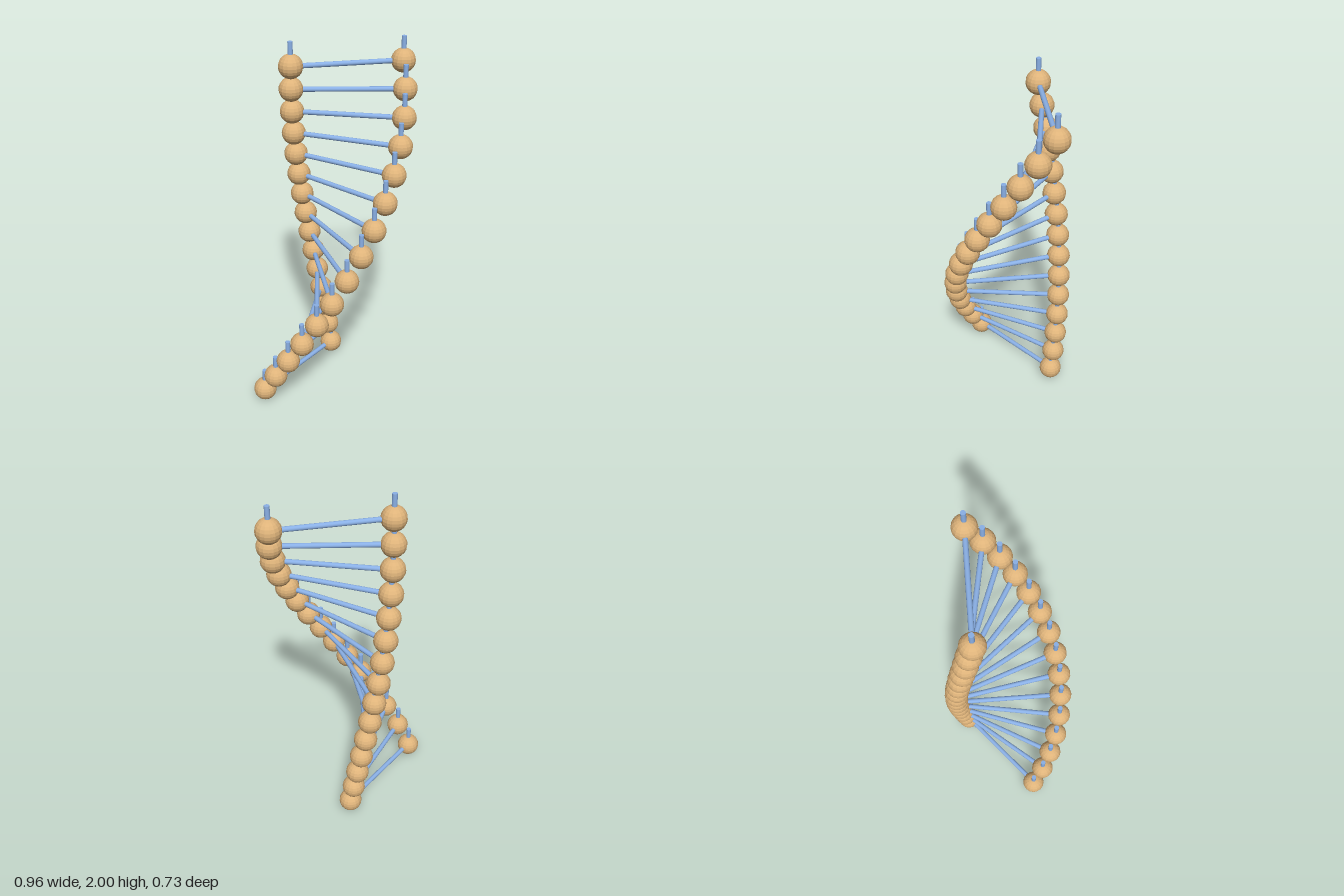
import * as THREE from 'three';

export function createModel() {
  const model = new THREE.Group();
  model.name = 'twistedLadder';

  const tan = new THREE.MeshStandardMaterial({ color: 0xdeb37a, flatShading: true });
  const blue = new THREE.MeshStandardMaterial({ color: 0x8ab0e6 });

  const count = 15, rise = 0.1289, baseY = 0.0665;
  const outer = -0.47, inner = 0.125; // strand distances from the twist axis
  const twist = THREE.MathUtils.degToRad(10);

  const ballGeo = new THREE.SphereGeometry(0.065, 16, 12);
  const pegGeo = new THREE.CylinderGeometry(0.0135, 0.0135, rise, 16).translate(0, rise / 2, 0);
  const rungGeo = new THREE.CylinderGeometry(0.0135, 0.0135, inner - outer, 16)
    .rotateZ(Math.PI / 2)
    .translate((inner + outer) / 2, 0, 0);

  const add = (parent, name, geometry, material, x = 0) => {
    const mesh = new THREE.Mesh(geometry, material);
    mesh.name = name;
    mesh.position.x = x;
    parent.add(mesh);
  };

  // Each step is one rung with a ball and an upright peg at both ends
  for (let i = 0; i < count; i++) {
    const step = new THREE.Group();
    step.name = `step${i + 1}`;
    step.position.set(0.055, baseY + i * rise, -0.175);
    step.rotation.y = i * twist;
    add(step, 'rung', rungGeo, blue);
    for (const [side, x] of [['outer', outer], ['inner', inner]]) {
      add(step, `${side}Ball`, ballGeo, tan, x);
      add(step, `${side}Peg`, pegGeo, blue, x);
    }
    model.add(step);
  }
  return model;
}
